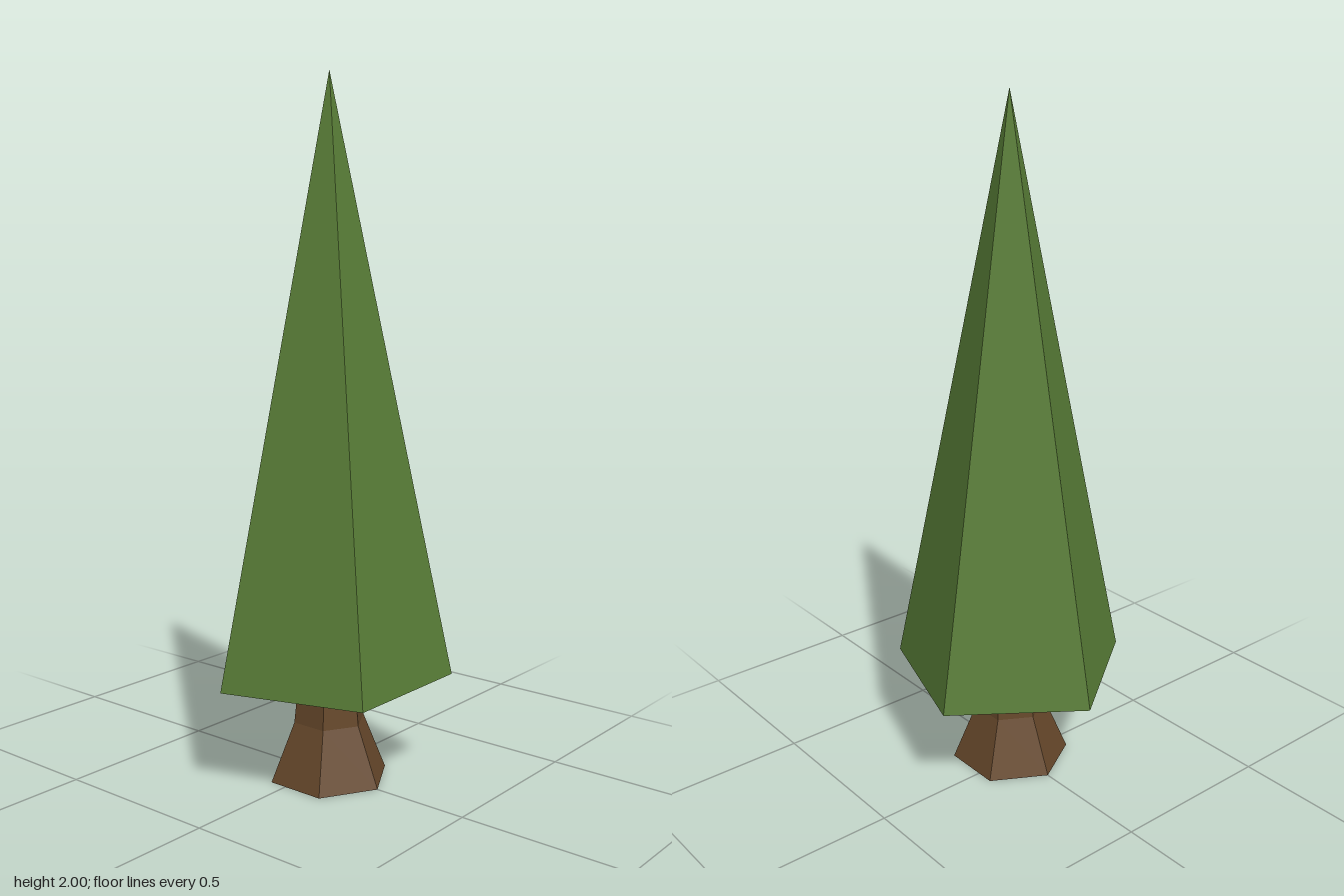
import * as THREE from 'three';

const AXIS_Z = 0.034; // trunk axis, offset so the five-sided crown is centred

function part(name, geometry, color) {
  const material = new THREE.MeshStandardMaterial({ color, flatShading: true });
  const mesh = new THREE.Mesh(geometry, material);
  mesh.name = name;
  return mesh;
}

export function createModel() {
  const tree = new THREE.Group();
  tree.name = 'pineTree';

  // Crown: five-sided closed cone with one corner at the back
  const crownBase = 0.31, crownTop = 2;
  const crown = part('crown', new THREE.ConeGeometry(0.354, crownTop - crownBase, 5), 0x587c36);
  crown.position.set(0, (crownBase + crownTop) / 2, AXIS_Z);
  crown.rotation.y = Math.PI;
  tree.add(crown);

  // Trunk: six-sided, flared at the root, closed underneath
  const profile = [[0, 0], [0.177, 0], [0.107, 0.17], [0.092, 0.312]]
    .map(([r, y]) => new THREE.Vector2(r, y));
  const trunk = part('trunk', new THREE.LatheGeometry(profile, 6), 0x65472a);
  trunk.position.z = AXIS_Z + 0.002;
  tree.add(trunk);

  return tree;
}
